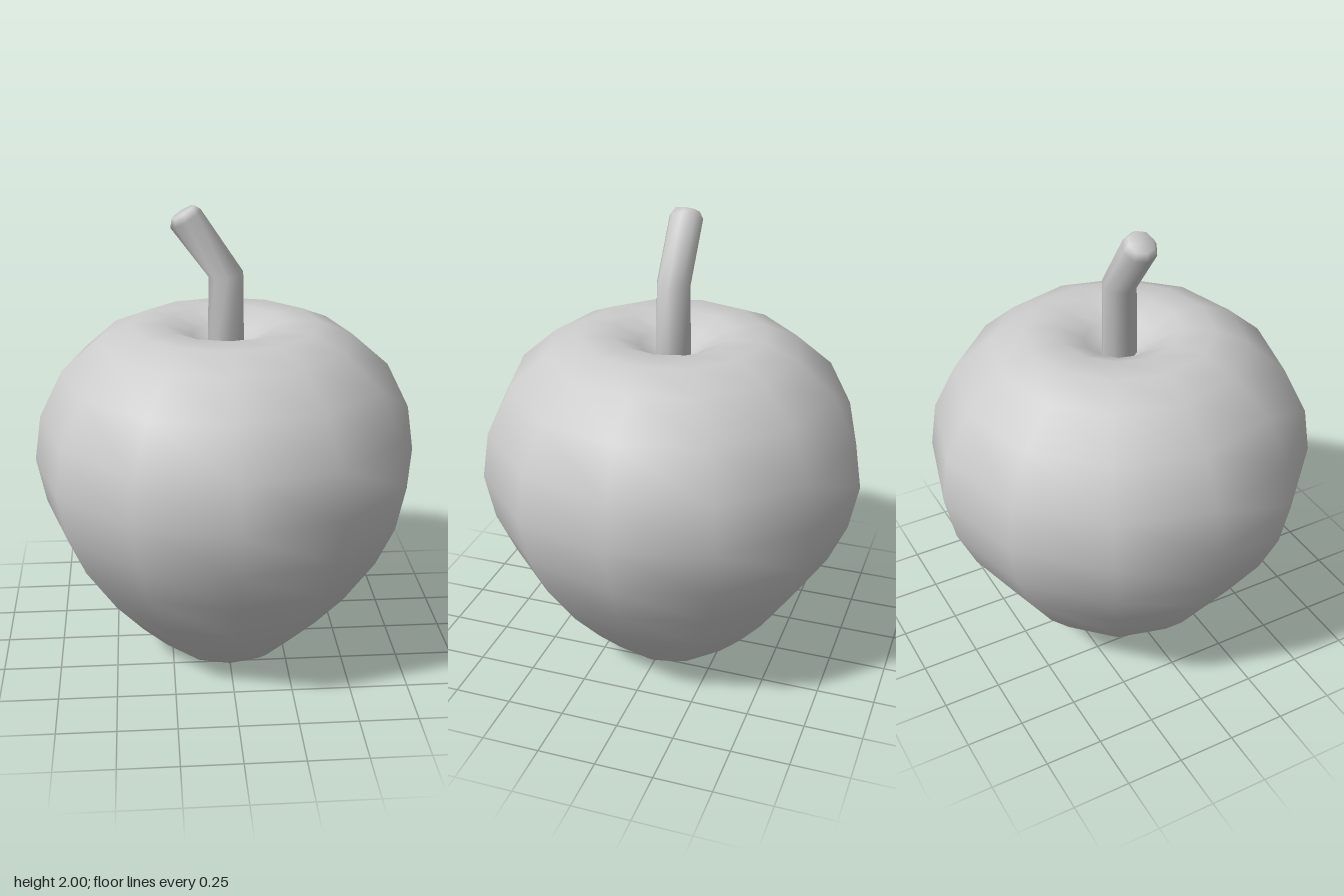
import * as THREE from 'three';
import { mergeVertices } from 'three/addons/utils/BufferGeometryUtils.js';

const material = new THREE.MeshStandardMaterial({ color: 0xcccccc });

// Low-poly fruit body: twelve-sided lathe with a dimple at both ends
function createBody() {
  const profile = [
    [0, 0.04], [0.12, 0.03], [0.27, 0], [0.32, 0.04], [0.44, 0.16], [0.57, 0.31],
    [0.71, 0.52], [0.79, 0.7], [0.83, 0.9], [0.8, 1.1], [0.7, 1.3], [0.54, 1.44],
    [0.4, 1.5], [0.26, 1.5], [0.15, 1.45], [0.07, 1.39], [0, 1.37],
  ].map(([r, y]) => new THREE.Vector2(r, y));
  const body = new THREE.Mesh(new THREE.LatheGeometry(profile, 12), material);
  body.name = 'fruitBody';
  return body;
}

// Bent stem: each row of a cylinder is moved to its own centre, tilt and radius
function createStem() {
  const rows = [
    { x: 0, y: 1.34, tilt: 0, r: 0.078 },
    { x: 0, y: 1.71, tilt: 0.15, r: 0.073 },
    { x: -0.165, y: 1.945, tilt: 0.54, r: 0.073 },
    { x: -0.176, y: 1.972, tilt: 0.54, r: 0.055 },
  ];
  let geometry = new THREE.CylinderGeometry(1, 1, rows.length - 1, 8, rows.length - 1);
  geometry.deleteAttribute('uv');
  geometry.deleteAttribute('normal');
  const p = geometry.attributes.position;
  for (let i = 0; i < p.count; i++) {
    const { x, y, tilt, r } = rows[Math.round(p.getY(i) + (rows.length - 1) / 2)];
    const side = p.getX(i) * r;
    p.setXYZ(i, x + side * Math.cos(tilt), y + side * Math.sin(tilt), p.getZ(i) * r);
  }
  geometry = mergeVertices(geometry);
  geometry.computeVertexNormals();
  const stem = new THREE.Mesh(geometry, material);
  stem.name = 'stem';
  return stem;
}

export function createModel() {
  const model = new THREE.Group();
  model.name = 'apple';
  model.add(createBody(), createStem());
  return model;
}
